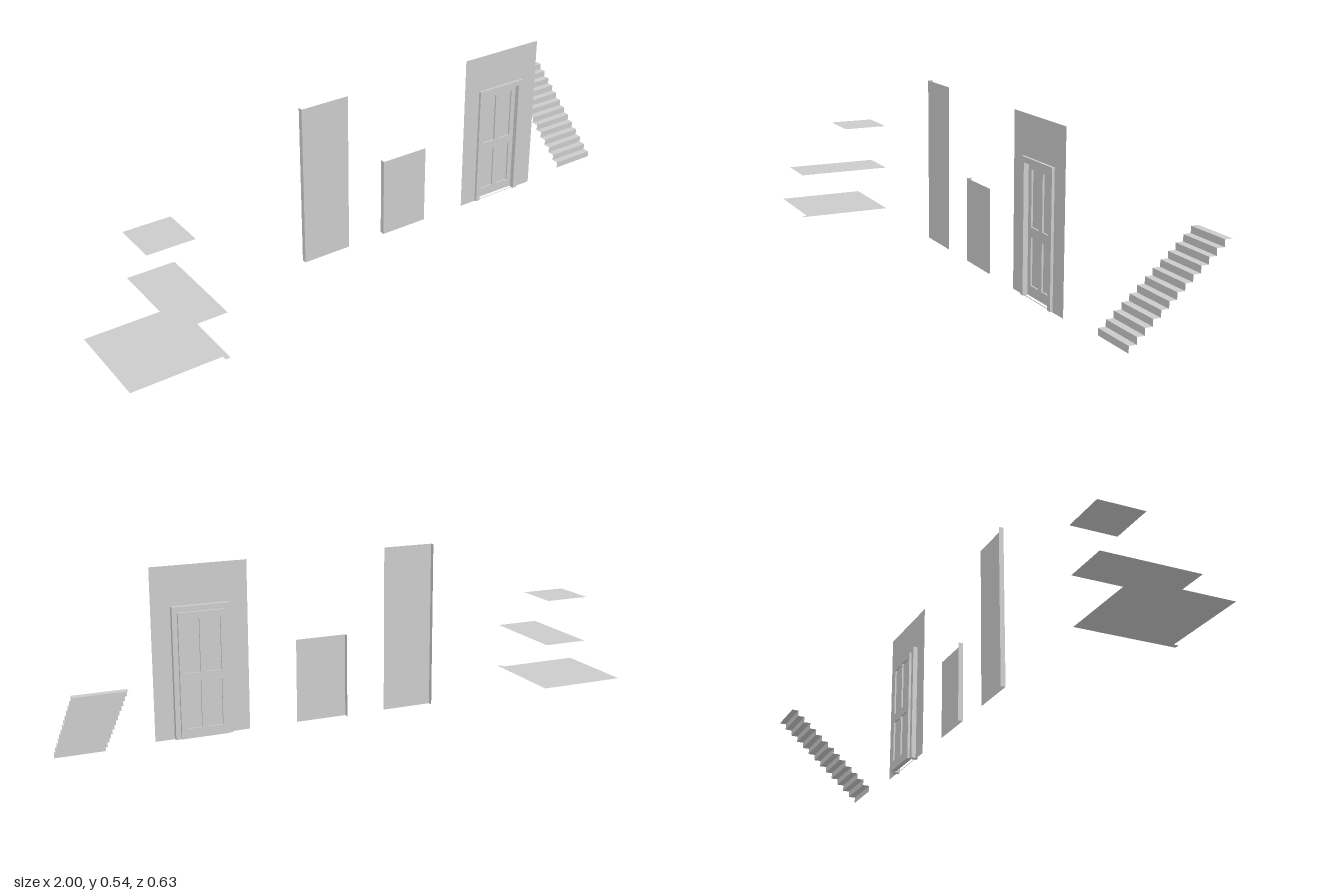
import * as THREE from 'three';

const mat = new THREE.MeshStandardMaterial({ color: 0xcccccc, flatShading: true, side: THREE.DoubleSide });

const rect = (P, x0, y0, x1, y1) => {
  const p = new P();
  p.moveTo(x0, y0); p.lineTo(x1, y0); p.lineTo(x1, y1); p.lineTo(x0, y1); p.closePath();
  return p;
};

function add(parent, name, geometry) {
  const mesh = new THREE.Mesh(geometry, mat);
  mesh.name = name;
  parent.add(mesh);
  return mesh;
}

function extrude(shape, z0, z1) {
  return new THREE.ExtrudeGeometry(shape, { depth: z1 - z0, bevelEnabled: false }).translate(0, 0, z0);
}

const FRONT = 0.0085, BACK = -0.0075;

// Thin wall sheet with a narrow return on its right-hand end
function wall(name, x0, x1, h) {
  const g = new THREE.Group();
  g.name = name;
  add(g, 'wallSheet', new THREE.PlaneGeometry(x1 - x0, h).translate((x0 + x1) / 2, h / 2, FRONT));
  add(g, 'wallReturn', new THREE.PlaneGeometry(FRONT - BACK, h).rotateY(-Math.PI / 2)
    .translate(x0, h / 2, (FRONT + BACK) / 2));
  return g;
}

// Horizontal floor sheet; outline is a list of [x, z]
function floor(parent, name, y, outline) {
  const shape = new THREE.Shape(outline.map(([x, z]) => new THREE.Vector2(x, -z)));
  add(parent, name, new THREE.ShapeGeometry(shape).rotateX(-Math.PI / 2).translate(0, y, 0));
}

// Wall with a doorway, casing and panelled door
function doorWall() {
  const g = new THREE.Group();
  g.name = 'doorWall';
  const sheet = rect(THREE.Shape, 0.385, 0, 0.69, 0.54);
  sheet.holes.push(rect(THREE.Path, 0.455, 0.002, 0.62, 0.405));
  add(g, 'doorWallSheet', new THREE.ShapeGeometry(sheet).translate(0, 0, FRONT));

  const casing = new THREE.Shape([
    [0.446, 0.002], [0.462, 0.002], [0.462, 0.399], [0.613, 0.399],
    [0.613, 0.002], [0.629, 0.002], [0.629, 0.416], [0.446, 0.416],
  ].map(([x, y]) => new THREE.Vector2(x, y)));
  add(g, 'doorCasing', extrude(casing, BACK, 0.017));

  // Leaf: rails and stiles around four sunken panels
  const leaf = rect(THREE.Shape, 0.462, 0.004, 0.613, 0.399);
  for (const [x0, x1] of [[0.48, 0.528], [0.547, 0.595]]) {
    for (const [y0, y1] of [[0.035, 0.18], [0.21, 0.38]]) {
      leaf.holes.push(rect(THREE.Path, x0, y0, x1, y1));
      add(g, 'doorPanel', new THREE.BoxGeometry(x1 - x0, y1 - y0, 0.006)
        .translate((x0 + x1) / 2, (y0 + y1) / 2, -0.0075));
    }
  }
  add(g, 'doorLeaf', extrude(leaf, -0.016, 0.001));
  return g;
}

// Open staircase: a folded ribbon of risers and treads
function stairs() {
  const g = new THREE.Group();
  g.name = 'stairs';
  const n = 13, x0 = 0.846, w = 0.154, zStart = -0.01, run = 0.308 / n, rise = 0.27 / n;
  for (let i = 0; i < n; i++) {
    const z = zStart - i * run;
    add(g, 'riser', new THREE.PlaneGeometry(w, rise).translate(x0 + w / 2, (i + 0.5) * rise, z));
    add(g, 'tread', new THREE.PlaneGeometry(w, run).rotateX(-Math.PI / 2)
      .translate(x0 + w / 2, (i + 1) * rise, z - run / 2));
  }
  return g;
}

export function createModel() {
  const model = new THREE.Group();
  model.name = 'buildingParts';
  model.add(wall('tallWall', -0.248, -0.08, 0.54));
  model.add(wall('shortWall', 0.058, 0.226, 0.27));
  model.add(doorWall());
  model.add(stairs());

  // Three floor sheets stacked with gaps; the largest has a small corner tab
  const floors = new THREE.Group();
  floors.name = 'floors';
  const xr = -0.694, xm = -0.848, z0 = -0.01;
  floor(floors, 'largeFloor', 0, [[-1, z0], [xr, z0], [xr, 0.311], [xr - 0.016, 0.311], [xr - 0.016, 0.295], [-1, 0.295]]);
  floor(floors, 'longFloor', 0.155, [[xm, z0], [xr, z0], [xr, 0.311], [xm, 0.311]]);
  floor(floors, 'smallFloor', 0.311, [[xm, z0], [xr, z0], [xr, 0.144], [xm, 0.144]]);
  model.add(floors);
  return model;
}
